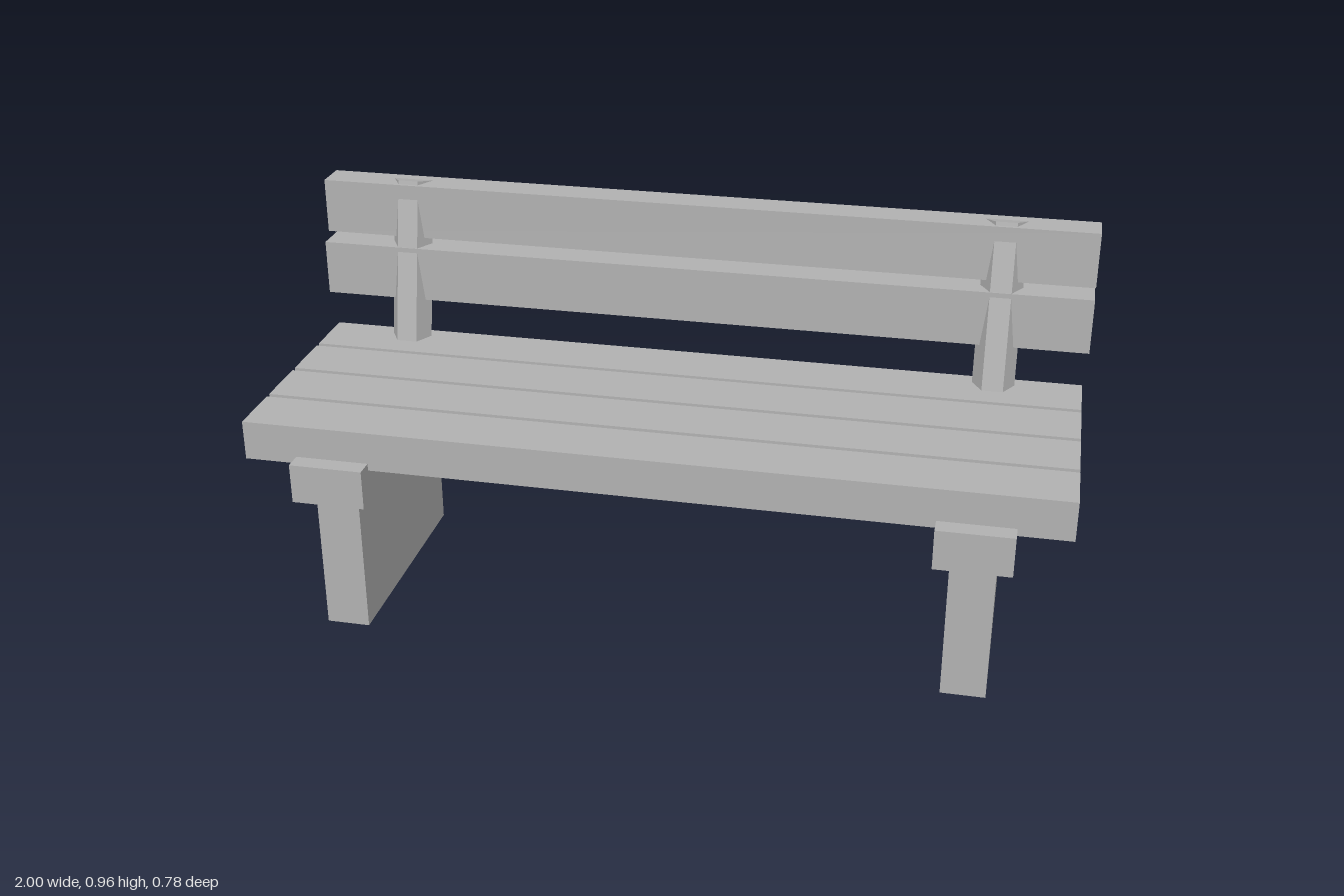
import * as THREE from 'three';

export function createModel() {
  const bench = new THREE.Group();
  bench.name = 'bench';
  const grey = new THREE.MeshStandardMaterial({ color: 0xb2b2b2, flatShading: true });
  grey.name = 'plain grey';

  // Box given by its limits on each axis
  function box(name, [x0, x1], [y0, y1], [z0, z1]) {
    const mesh = new THREE.Mesh(new THREE.BoxGeometry(x1 - x0, y1 - y0, z1 - z0), grey);
    mesh.position.set((x0 + x1) / 2, (y0 + y1) / 2, (z0 + z1) / 2);
    mesh.name = name;
    bench.add(mesh);
  }

  // Seat: four planks with narrow gaps
  for (let i = 0; i < 4; i++) {
    const front = 0.342 - i * 0.1625;
    box('seatPlank' + (i + 1), [-0.993, 0.99], [0.45, 0.549], [front - 0.148, front]);
  }

  // Backrest: two upright planks, the upper one set further back
  box('lowerBackPlank', [-0.998, 0.998], [0.651, 0.793], [-0.344, -0.259]);
  box('upperBackPlank', [-0.998, 0.998], [0.814, 0.955], [-0.373, -0.288]);

  // Hexagonal post: flat faces to front and back, corners to the sides
  const tilt = THREE.MathUtils.degToRad(12);
  const length = 0.72;
  const postGeometry = new THREE.CylinderGeometry(0.053, 0.053, length, 6, 1, false, Math.PI / 6);
  postGeometry.translate(0, -length / 2, 0);

  for (const [side, s] of [['left', 1], ['right', -1]]) {
    const x = s * 0.77;
    // Slab leg and the beam carrying the seat
    box(side + 'Leg', [x - 0.054, x + 0.054], [0, 0.37], [-0.26, 0.33]);
    box(side + 'Beam', [x - 0.091, x + 0.091], [0.368, 0.468], [-0.321, 0.388]);
    // Leaning post, sunk through the beam into the leg
    const post = new THREE.Mesh(postGeometry, grey);
    post.position.set(x, 0.955, -0.343);
    post.rotation.x = -tilt;
    post.name = side + 'BackPost';
    bench.add(post);
  }
  return bench;
}
